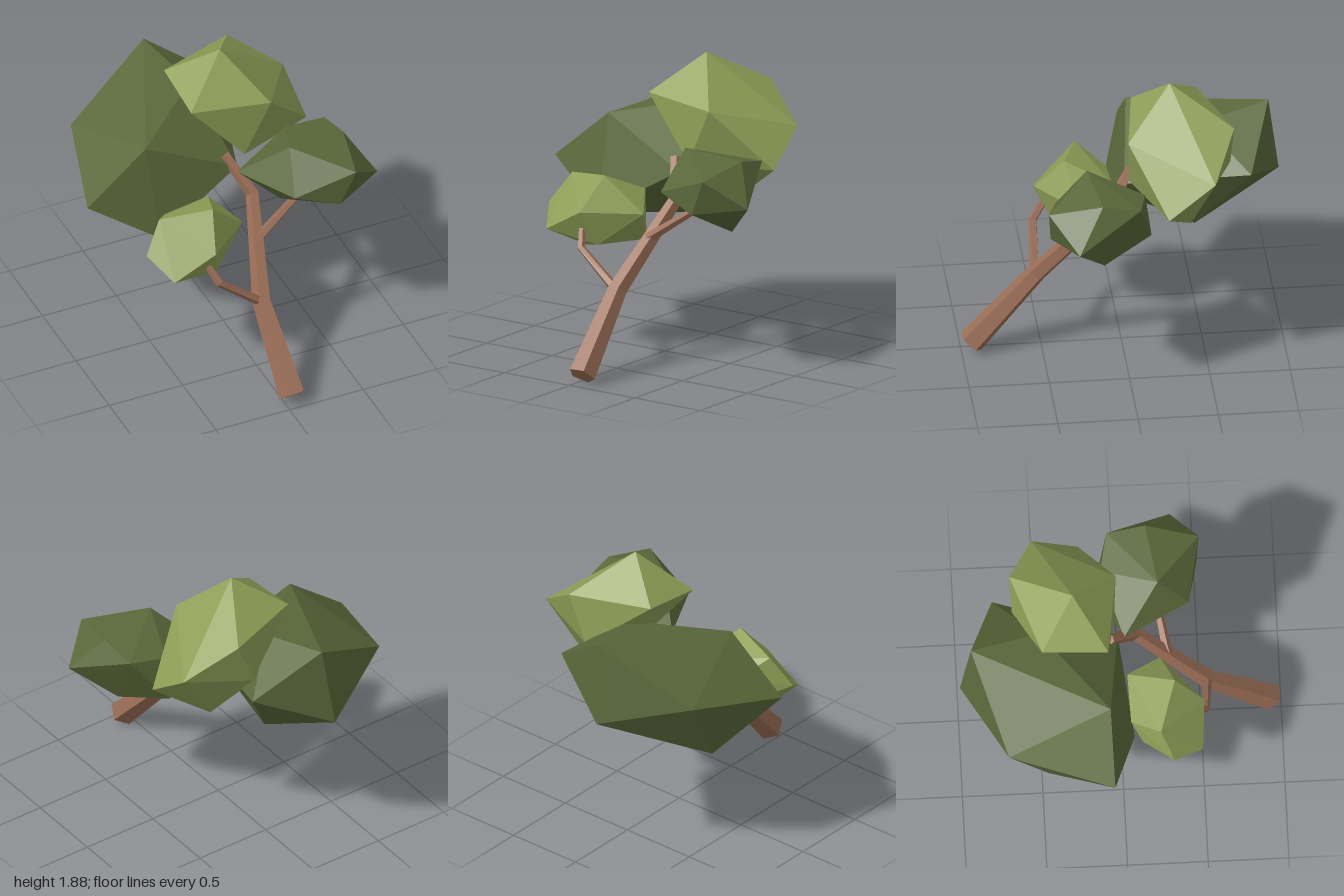
import * as THREE from 'three';
import { ConvexGeometry } from 'three/addons/geometries/ConvexGeometry.js';

const mat = (name, color) => {
  const m = new THREE.MeshStandardMaterial({ color });
  m.name = name;
  return m;
};

const V = (a) => new THREE.Vector3(...a);

// Faceted limb: a five-sided ring at each path point, mitred at the bends and capped
function limbGeometry(path, radii, sides = 5) {
  const pts = path.map(V);
  const rings = pts.map((p, i) => {
    const t = new THREE.Vector3();
    if (i > 0) t.add(p.clone().sub(pts[i - 1]).normalize());
    if (i < pts.length - 1) t.add(pts[i + 1].clone().sub(p).normalize());
    t.normalize();
    const side = new THREE.Vector3().crossVectors(t, V([0, 0.64, 0.77])).normalize();
    const up = new THREE.Vector3().crossVectors(side, t);
    return Array.from({ length: sides }, (_, k) => {
      const a = (k / sides) * Math.PI * 2 - Math.PI / 2;
      return p.clone()
        .addScaledVector(side, Math.cos(a) * radii[i])
        .addScaledVector(up, Math.sin(a) * radii[i]);
    });
  });
  const out = [];
  const tri = (a, b, c) => out.push(...a.toArray(), ...b.toArray(), ...c.toArray());
  const last = pts.length - 1;
  for (let k = 0; k < sides; k++) {
    const n = (k + 1) % sides;
    for (let i = 0; i < last; i++) {
      tri(rings[i][k], rings[i + 1][n], rings[i + 1][k]);
      tri(rings[i][k], rings[i][n], rings[i + 1][n]);
    }
    tri(pts[0], rings[0][n], rings[0][k]);
    tri(pts[last], rings[last][k], rings[last][n]);
  }
  // Turn the shell outward if the ring order came out reversed
  const mid = rings[0][0].clone().add(rings[0][1]).multiplyScalar(0.5).sub(pts[0]);
  const e1 = rings[1][1].clone().sub(rings[0][0]);
  const e2 = rings[1][0].clone().sub(rings[0][0]);
  if (e1.cross(e2).dot(mid) < 0) {
    for (let i = 0; i < out.length; i += 9) {
      for (let j = 0; j < 3; j++) [out[i + 3 + j], out[i + 6 + j]] = [out[i + 6 + j], out[i + 3 + j]];
    }
  }
  const g = new THREE.BufferGeometry();
  g.setAttribute('position', new THREE.Float32BufferAttribute(out, 3));
  g.computeVertexNormals();
  return g;
}

export function createModel() {
  const bark = mat('bark brown', 0x9a6d56);
  const dark = mat('dark leaf green', 0x5a683a);
  const light = mat('light leaf green', 0x8f9f57);
  for (const m of [bark, dark, light]) m.flatShading = true;

  const tree = new THREE.Group();
  tree.name = 'leaningTree';
  const add = (name, geometry, material) => {
    const mesh = new THREE.Mesh(geometry, material);
    mesh.name = name;
    tree.add(mesh);
  };

  // Leaning trunk and its two side branches
  add('trunk', limbGeometry(
    [[0.05, 0.063, 0.94], [0.025, 0.52, 0.53], [0.155, 1.02, 0.1], [0.04, 1.24, -0.06]],
    [0.087, 0.062, 0.045, 0.034]), bark);
  add('rightBranch', limbGeometry(
    [[0.01, 0.53, 0.54], [-0.26, 0.74, 0.52], [-0.31, 0.85, 0.44]],
    [0.032, 0.026, 0.023]), bark);
  add('leftBranch', limbGeometry(
    [[0.09, 0.81, 0.3], [0.38, 1.01, 0.24]],
    [0.034, 0.024]), bark);

  // Leaf clumps: faceted convex lumps
  const clump = (name, corners, material) =>
    add(name, new ConvexGeometry(corners.map(V)), material);

  clump('backLeafClump', [
    [-0.12, 1.59, -0.93], [-0.17, 1.07, -1.0], [0.3, 1.3, -0.78], [-0.71, 1.25, -0.72],
    [-0.89, 1.11, -0.07], [-0.49, 1.44, -0.08], [-0.66, 0.8, -0.47], [-0.46, 0.84, 0.07],
    [-0.02, 0.79, -0.46], [0.1, 1.17, -0.01], [0.0, 1.52, -0.5],
  ], dark);
  clump('topLeafClump', [
    [0.11, 1.88, -0.29], [0.33, 1.59, -0.01], [0.64, 1.44, -0.52], [0.67, 1.22, -0.23],
    [0.33, 1.66, -0.67], [-0.18, 1.67, -0.49], [-0.18, 1.62, -0.08], [0.16, 1.23, -0.03],
    [0.35, 1.01, -0.4], [0.2, 1.35, -0.66], [-0.04, 1.38, -0.4],
  ], light);
  clump('leftLeafClump', [
    [0.34, 1.42, 0.25], [0.73, 1.38, 0.19], [0.89, 1.13, 0.35], [0.67, 1.31, 0.52],
    [0.29, 1.17, 0.44], [0.57, 1.08, 0.5], [0.64, 0.91, 0.17], [0.08, 1.16, 0.03],
    [0.71, 1.33, -0.05], [0.47, 1.3, -0.1], [0.47, 1.01, -0.14], [0.3, 1.0, 0.2],
  ], dark);
  clump('rightLeafClump', [
    [-0.66, 0.93, 0.31], [-0.54, 1.12, 0.23], [-0.22, 1.17, 0.33], [-0.28, 0.96, 0.51],
    [-0.55, 0.81, 0.49], [0.02, 0.94, 0.25], [-0.42, 0.67, 0.23], [-0.08, 0.73, 0.08],
    [-0.12, 1.04, 0.04], [-0.42, 1.0, 0.05], [-0.5, 0.85, 0.12], [-0.22, 0.74, 0.4],
  ], light);

  return tree;
}
